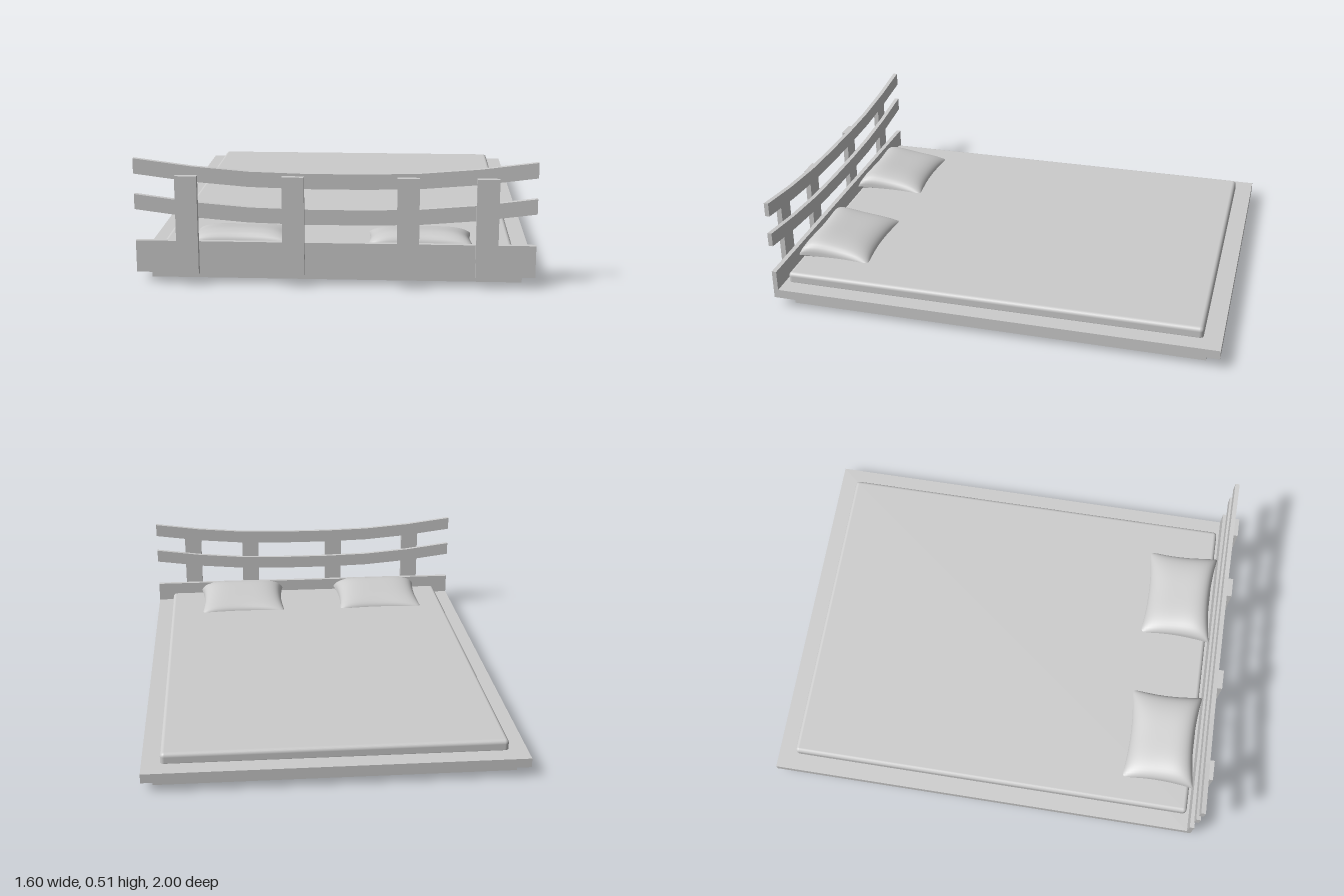
import * as THREE from 'three';
import { mergeGeometries } from 'three/addons/utils/BufferGeometryUtils.js';
import { RoundedBoxGeometry } from 'three/addons/geometries/RoundedBoxGeometry.js';

const grey = new THREE.MeshStandardMaterial({ color: 0xcccccc });
grey.name = 'plain grey';

function add(group, name, geometry) {
  const mesh = new THREE.Mesh(geometry, grey);
  mesh.name = name;
  group.add(mesh);
  return mesh;
}

// Box given by its limits on each axis
function box(group, name, [x0, x1], [y0, y1], [z0, z1]) {
  add(group, name, new THREE.BoxGeometry(x1 - x0, y1 - y0, z1 - z0))
    .position.set((x0 + x1) / 2, (y0 + y1) / 2, (z0 + z1) / 2);
}

// Sagging headboard rail: faceted curve of constant height
function railGeometry(middle, height) {
  const half = [[0.12, 0], [0.34, 0.006], [0.57, 0.025], [0.8, 0.055]];
  const curve = [...half.map(([x, y]) => [-x, y]).reverse(), ...half];
  const outline = [
    ...curve.map(([x, y]) => new THREE.Vector2(x, middle + y)),
    ...curve.map(([x, y]) => new THREE.Vector2(x, middle + y + height)).reverse(),
  ];
  return new THREE.ExtrudeGeometry(new THREE.Shape(outline), { depth: 0.02, bevelEnabled: false });
}

// One side of a pillow: plump centre, pinched edges, thicker towards the headboard
function pillowSide(sign) {
  const g = new THREE.PlaneGeometry(2, 2, 28, 24);
  g.rotateX(sign > 0 ? -Math.PI / 2 : Math.PI / 2);
  const p = g.attributes.position;
  for (let i = 0; i < p.count; i++) {
    const u = Math.sin(p.getX(i) * Math.PI / 2);
    const v = Math.sin(p.getZ(i) * Math.PI / 2);
    const plump = Math.pow(Math.max(0, (1 - u ** 4) * (1 - v ** 4)), 0.4);
    const thick = sign > 0 ? 0.068 + 0.018 * v : 0.02;
    p.setXYZ(i,
      0.222 * u * (1 - 0.07 * (1 - v * v)),
      sign * thick * plump + 0.01 * v,
      0.17 * v * (1 - 0.12 * (1 - u * u)));
  }
  g.computeVertexNormals();
  return g;
}

export function createModel() {
  const bed = new THREE.Group();
  bed.name = 'bed';

  // Recessed plinth and overhanging platform
  box(bed, 'plinth', [-0.755, 0.755], [0, 0.045], [-0.94, 0.9]);
  box(bed, 'platform', [-0.8, 0.8], [0.045, 0.085], [-1, 0.955]);

  // Mattress with softened edges
  add(bed, 'mattress', new RoundedBoxGeometry(1.445, 0.06, 1.86, 4, 0.018))
    .position.set(0, 0.1, 0.01);

  // Headboard: bottom board, two curved rails and four posts
  const headboard = new THREE.Group();
  headboard.name = 'headboard';
  bed.add(headboard);
  box(headboard, 'headboardPanel', [-0.8, 0.8], [0.045, 0.177], [0.955, 0.976]);
  add(headboard, 'lowerRail', railGeometry(0.252, 0.062)).position.z = 0.956;
  add(headboard, 'upperRail', railGeometry(0.398, 0.062)).position.z = 0.956;
  for (const x of [-0.588, -0.163, 0.293, 0.605]) {
    box(headboard, 'post', [x - 0.044, x + 0.044], [0.045, 0.45], [0.976, 1]);
  }

  // Pair of pillows
  const pillow = mergeGeometries([pillowSide(1), pillowSide(-1)]);
  for (const x of [-0.387, 0.343]) {
    add(bed, 'pillow', pillow).position.set(x, 0.125, 0.785);
  }

  return bed;
}
